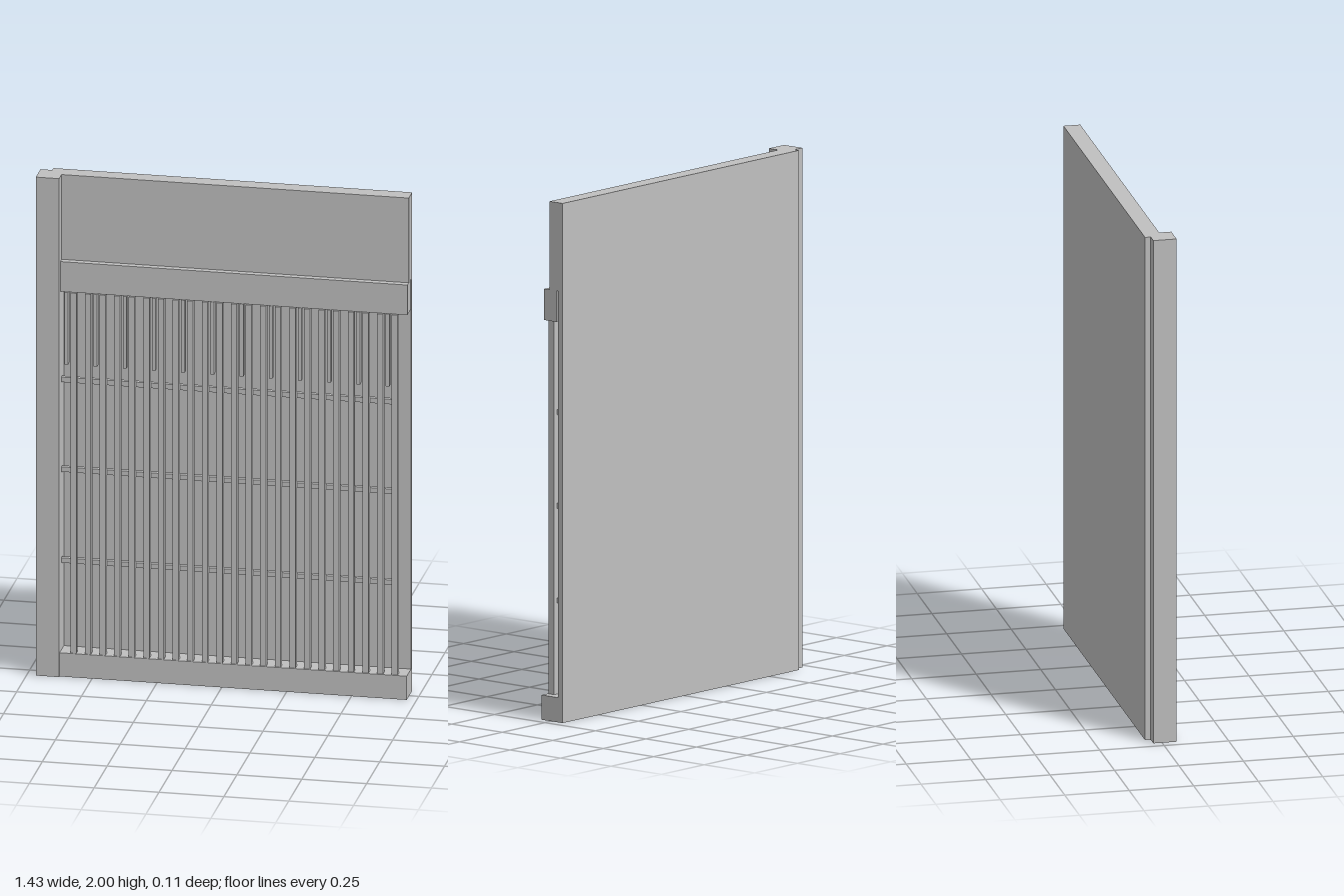
import * as THREE from 'three';

export function createModel() {
  const group = new THREE.Group();
  group.name = 'slattedPanel';
  const grey = new THREE.MeshStandardMaterial({ color: 0xc0c0c0 });
  grey.name = 'grey';

  // box given by its limits on each axis
  function box(name, x0, x1, y0, y1, z0, z1, parent = group) {
    const mesh = new THREE.Mesh(new THREE.BoxGeometry(x1 - x0, y1 - y0, z1 - z0), grey);
    mesh.position.set((x0 + x1) / 2, (y0 + y1) / 2, (z0 + z1) / 2);
    mesh.name = name;
    parent.add(mesh);
  }

  // panel: one side profile (z, y) with sill, recess, slot behind the lintel and header
  const left = -0.67, right = 0.713;
  const profile = [
    [-0.056, 0], [0.048, 0], [0.048, 0.095], [-0.034, 0.095], [-0.034, 1.66],
    [-0.025, 1.66], [-0.025, 1.54], [0.035, 1.54], [0.035, 1.66],
    [0.009, 1.66], [0.009, 2], [-0.056, 2],
  ];
  const shape = new THREE.Shape(profile.map(([z, y]) => new THREE.Vector2(-z, y)));
  const geometry = new THREE.ExtrudeGeometry(shape, { depth: right - left, bevelEnabled: false });
  geometry.rotateY(Math.PI / 2).translate(left, 0, 0);
  const panel = new THREE.Mesh(geometry, grey);
  panel.name = 'panel';
  group.add(panel);

  // side post
  box('post', -0.715, -0.625, 0, 2, -0.034, 0.056);

  // upright slats, with a short filler strip in every second gap
  const slats = new THREE.Group();
  slats.name = 'slats';
  group.add(slats);
  const pitch = 0.0563, slatWidth = 0.023, lastEdge = 0.677;
  for (let i = 0; i < 23; i++) {
    const edge = lastEdge - i * pitch;
    box('slat', edge - slatWidth, edge, 0.095, 1.54, 0.016, 0.044, slats);
    if (i % 2 === 0) {
      const middle = edge - slatWidth - (pitch - slatWidth) / 2;
      box('fillerStrip', middle - 0.007, middle + 0.007, 1.25, 1.54, 0.016, 0.04, slats);
    }
  }

  // cross rods behind the slats
  for (const y of [0.455, 0.82, 1.18]) {
    box('crossRod', -0.625, 0.66, y - 0.01, y + 0.01, -0.001, 0.016);
  }

  return group;
}
